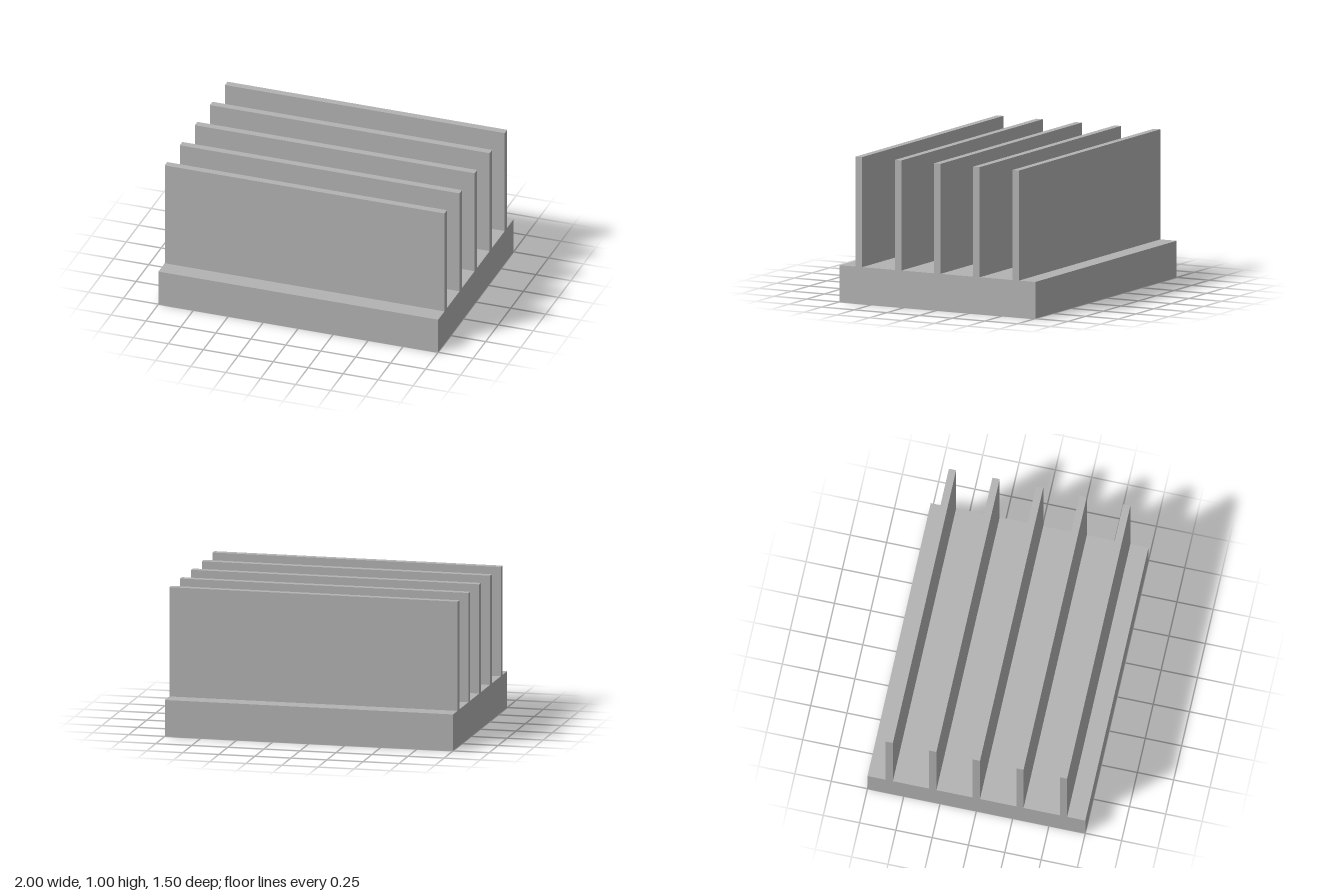
import * as THREE from 'three';

const LENGTH = 2, DEPTH = 1.5, BASE_HEIGHT = 0.25, HEIGHT = 1;
const FIN_COUNT = 5, FIN_PITCH = 0.3, FIN_THICKNESS = 0.05;

export function createModel() {
  const group = new THREE.Group();
  group.name = 'heatSink';

  const metal = new THREE.MeshStandardMaterial({ color: 0xb2b2b2 });
  metal.name = 'grey metal';

  // Comb-shaped cross-section: a thick base with evenly spaced upright fins
  const profile = new THREE.Shape();
  profile.moveTo(-DEPTH / 2, 0);
  profile.lineTo(DEPTH / 2, 0);
  profile.lineTo(DEPTH / 2, BASE_HEIGHT);
  for (let i = FIN_COUNT - 1; i >= 0; i--) {
    const centre = (i - (FIN_COUNT - 1) / 2) * FIN_PITCH;
    const outer = centre + FIN_THICKNESS / 2;
    const inner = centre - FIN_THICKNESS / 2;
    profile.lineTo(outer, BASE_HEIGHT);
    profile.lineTo(outer, HEIGHT);
    profile.lineTo(inner, HEIGHT);
    profile.lineTo(inner, BASE_HEIGHT);
  }
  profile.lineTo(-DEPTH / 2, BASE_HEIGHT);
  profile.closePath();

  // Extrude along the length, then turn the length onto x
  const geometry = new THREE.ExtrudeGeometry(profile, { depth: LENGTH, bevelEnabled: false });
  geometry.translate(0, 0, -LENGTH / 2);
  geometry.rotateY(Math.PI / 2);

  const body = new THREE.Mesh(geometry, metal);
  body.name = 'finnedBase';
  group.add(body);
  return group;
}
